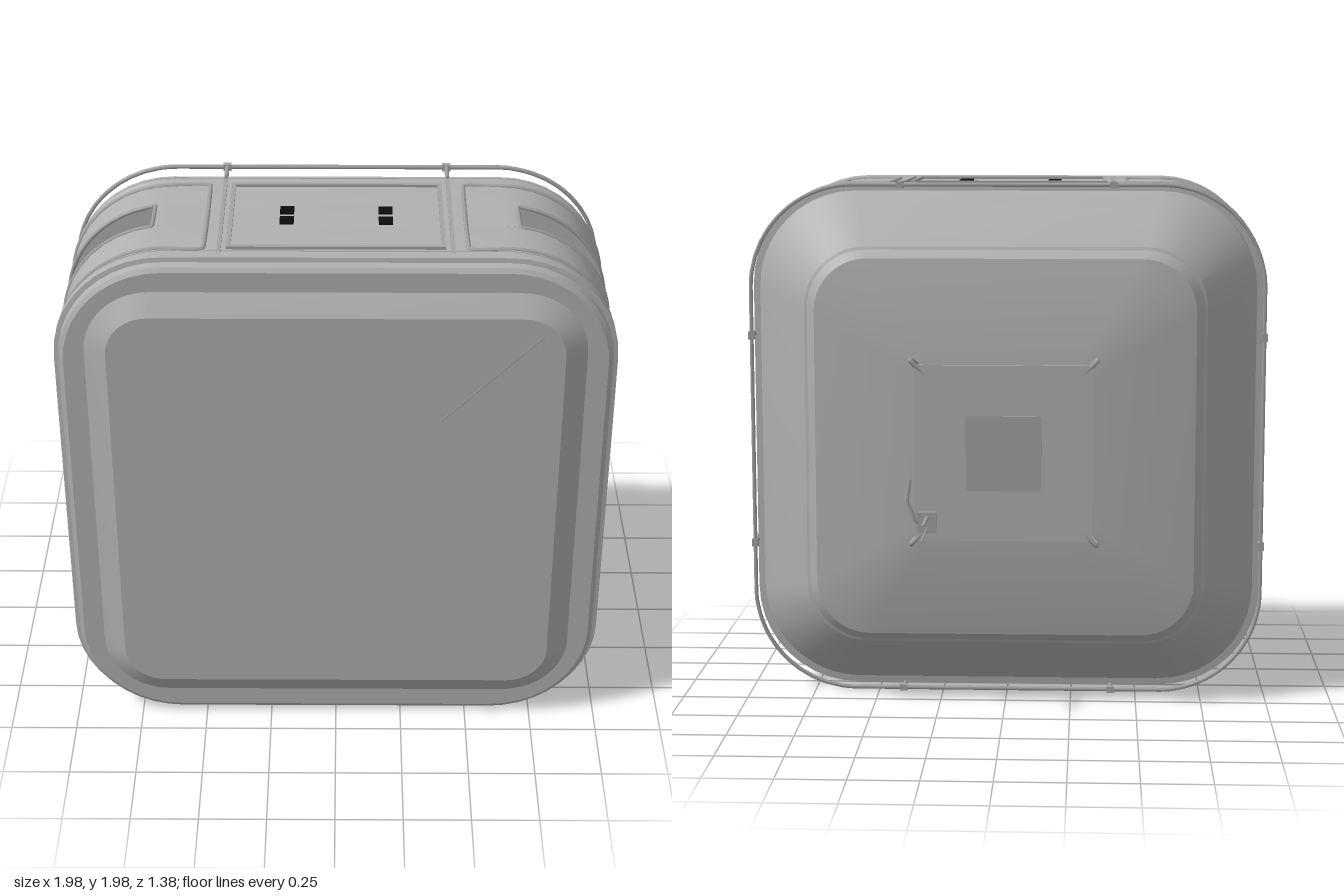
import * as THREE from 'three';
import { toCreasedNormals } from 'three/addons/utils/BufferGeometryUtils.js';

const mat = (name, color, side = THREE.FrontSide) => {
  const m = new THREE.MeshStandardMaterial({ color, side });
  m.name = name;
  return m;
};

// Counter-clockwise rounded square with half size h and corner radius r
function ring(h, r, n = 10) {
  const pts = [];
  for (let k = 0; k < 4; k++) {
    const q = (k * Math.PI) / 2, c = new THREE.Vector2(h - r, h - r).rotateAround(new THREE.Vector2(), q);
    for (let i = 0; i <= n; i++) {
      const a = q + (i / n) * Math.PI / 2;
      pts.push(new THREE.Vector2(c.x + r * Math.cos(a), c.y + r * Math.sin(a)));
    }
  }
  return pts;
}

// Skin over rounded squares, listed front to back as [z, half size, radius]
function loft(profile) {
  const pos = [], idx = [], n = ring(1, 0.1).length;
  for (const [z, h, r] of profile) for (const p of ring(h, r)) pos.push(p.x, p.y, z);
  for (let i = 0; i < profile.length - 1; i++) {
    for (let j = 0; j < n; j++) {
      const a = i * n + j, b = i * n + (j + 1) % n, c = a + n, d = b + n;
      idx.push(a, c, b, b, c, d);
    }
  }
  const g = new THREE.BufferGeometry();
  g.setAttribute('position', new THREE.Float32BufferAttribute(pos, 3));
  g.setIndex(idx);
  return toCreasedNormals(g, 0.4);
}

function slab(pts, z0, z1) {
  const g = new THREE.ExtrudeGeometry(new THREE.Shape(pts), { depth: z1 - z0, bevelEnabled: false });
  return toCreasedNormals(g.translate(0, 0, z0), 0.4);
}

function tube(pts, radius, closed = false, segments = 100) {
  const curve = new THREE.CatmullRomCurve3(pts, closed, 'catmullrom', 0.1);
  return new THREE.TubeGeometry(curve, segments, radius, 6, closed);
}

const V = (x, y, z) => new THREE.Vector3(x, y, z);
const H = 0.98, R = 0.385;

// Points around the corner, between two angles in degrees
function arc(a0, a1, h = H, n = 10) {
  return Array.from({ length: n + 1 }, (_, i) => {
    const a = THREE.MathUtils.degToRad(a0 + ((a1 - a0) * i) / n);
    return new THREE.Vector2(H - R + (R + h - H) * Math.cos(a), H - R + (R + h - H) * Math.sin(a));
  });
}

export function createModel() {
  const shell = mat('shell grey', 0xb0b0b0);
  const trim = mat('trim grey', 0xa2a2a2);
  const pale = mat('recess pale grey', 0xe6e6e6);
  const black = mat('black', 0x0c0c0c);

  const model = new THREE.Group();
  const body = new THREE.Group();
  body.name = 'body';
  body.position.y = 1;
  model.add(body);
  const add = (name, geo, m = shell, parent = body) => {
    const mesh = new THREE.Mesh(geo, m);
    mesh.name = name;
    parent.add(mesh);
    return mesh;
  };
  const box = (name, w, h, d, x, y, z, m, parent) =>
    add(name, new THREE.BoxGeometry(w, h, d).translate(x, y, z), m, parent);

  // Front cover with bevelled panel and stepped rim
  add('frontCover', loft([
    [0.688, 0.001, 0.0005], [0.688, 0.8, 0.15], [0.645, 0.88, 0.24], [0.645, 0.955, 0.36],
    [0.635, 0.972, 0.38], [0.605, 0.975, 0.38], [0.602, 0.992, 0.395], [0.565, 0.992, 0.395],
    [0.555, 0.978, 0.385], [0.53, 0.978, 0.385], [0.525, H, R],
  ]));

  // Middle walls, with handle recesses cut into the corners
  const full = ring(H, R);
  const notched = [];
  for (let k = 0; k < 4; k++) {
    const corner = [...arc(0, 9, H, 2), new THREE.Vector2(0.82, 0.66),
      new THREE.Vector2(0.66, 0.82), ...arc(81, 90, H, 2)];
    notched.push(...corner.map(p => p.rotateAround(new THREE.Vector2(), (k * Math.PI) / 2)));
  }
  add('frontWall', slab(full, 0.345, 0.53));
  add('recessedWall', slab(notched, 0.195, 0.345));
  add('backWall', slab(full, 0, 0.195));

  // Back dome with sealing ridges
  add('backDome', loft([
    [0.005, H, R], [0, 0.985, 0.39], [-0.012, 0.985, 0.39], [-0.015, 0.965, 0.375], [-0.025, 0.965, 0.375],
    [-0.028, 0.98, 0.385], [-0.04, 0.98, 0.385], [-0.043, 0.955, 0.37], [-0.06, 0.95, 0.365],
    [-0.115, 0.9, 0.33], [-0.27, 0.757, 0.23], [-0.275, 0.745, 0.22], [-0.31, 0.715, 0.2],
    [-0.335, 0.57, 0.14], [-0.358, 0.38, 0.06], [-0.368, 0.25, 0.02], [-0.37, 0.001, 0.0005],
  ]));

  // Guard rail around the back
  add('guardRail', tube(ring(0.98, 0.39).map(p => V(p.x, p.y, -0.12)), 0.008, true, 240), trim);

  // Everything repeated on the four sides
  for (let k = 0; k < 4; k++) {
    const side = new THREE.Group();
    side.name = 'side' + (k + 1);
    side.rotation.z = (k * Math.PI) / 2;
    body.add(side);

    // Raised frame of the flat panel
    for (const s of [-1, 1]) {
      box('panelFrameLong', 0.02, 0.76, 0.015, H, 0, s * 0.238 + 0.275, trim, side);
      box('panelFrameShort', 0.02, 0.015, 0.49, H, s * 0.373, 0.275, trim, side);
      // Seam strip and rail bracket
      box('seamStrip', 0.018, 0.014, 0.56, H, s * 0.405, 0.28, trim, side);
      add('railStrut', tube([V(0.975, s * 0.405, 0.02), V(0.985, s * 0.405, -0.12)], 0.008, false, 2), trim, side);
      box('railClamp', 0.024, 0.03, 0.022, 0.98, s * 0.405, -0.12, trim, side);
      // Pairs of dark square ports
      for (const z of [0.235, 0.312]) box('port', 0.008, 0.05, 0.05, H + 0.003, s * 0.175, z, black, side);
    }

    // Frame of the curved corner panel
    const edge = [new THREE.Vector2(H, 0.46), ...arc(0, 90, H, 14), new THREE.Vector2(0.46, H)];
    const loop = (path, z0, z1) => [
      ...path.map(p => V(p.x, p.y, z0)), ...path.slice().reverse().map(p => V(p.x, p.y, z1))];
    add('cornerPanelFrame', tube(loop(edge, 0.035, 0.515), 0.009, true, 200), trim, side);

    // Lip and pale floor of the handle recess
    add('recessLip', tube(loop(arc(8, 82, H, 12), 0.192, 0.348), 0.008, true, 140), trim, side);
    const floor = box('recessFloor', 0.006, 0.222, 0.148, 0, 0, 0, pale, side);
    floor.position.set(0.742, 0.742, 0.27);
    floor.rotation.z = Math.PI / 4;
  }

  // Back hatch plate on its plinth, with corner standoffs
  box('hatchPlinth', 0.42, 0.42, 0.05, 0, 0, -0.385, shell);
  box('hatchPlate', 0.66, 0.66, 0.012, 0, 0, -0.414, shell);
  box('hatchInset', 0.28, 0.28, 0.006, 0, 0, -0.422, trim);
  for (const x of [-1, 1]) for (const y of [-1, 1]) {
    const bracket = [V(x * 0.29, y * 0.29, -0.41), V(x * 0.345, y * 0.345, -0.415),
      V(x * 0.345, y * 0.345, -0.38), V(x * 0.32, y * 0.32, -0.35)];
    add('hatchBracket', tube(bracket, 0.01, false, 24), trim);
  }

  // Antennas and their curved support
  const rod = (name, x, y, z0, z1, r) => add(name,
    new THREE.CylinderGeometry(r, r, Math.abs(z1 - z0), 8).rotateX(Math.PI / 2).translate(x, y, (z0 + z1) / 2), trim);
  rod('antennaBase', 0.285, -0.24, -0.36, -0.615, 0.008);
  rod('antennaWhip', 0.285, -0.28, -0.36, -0.69, 0.004);
  add('antennaArm', tube([V(0.35, -0.1, -0.42), V(0.36, -0.18, -0.425), V(0.33, -0.25, -0.43),
    V(0.285, -0.28, -0.42)], 0.008, false, 30), trim);
  box('antennaFoot', 0.07, 0.08, 0.03, 0.285, -0.26, -0.425, trim);

  // Fine diagonal line on the front cover
  const line = box('coverLine', 0.495, 0.006, 0.004, 0, 0, 0, trim);
  line.position.set(0.545, 0.555, 0.688);
  line.rotation.z = Math.PI / 4;

  return model;
}
